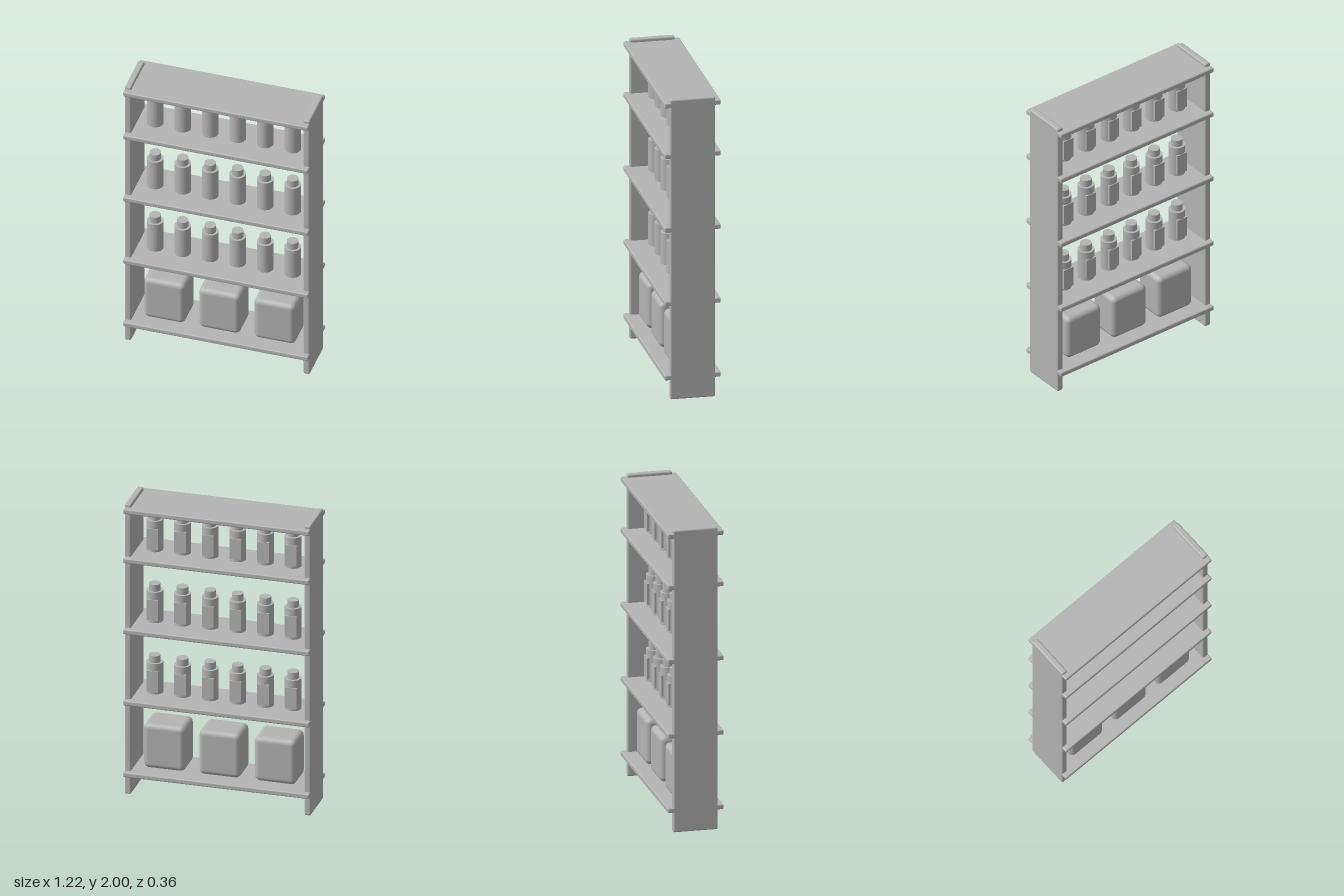
import * as THREE from 'three';
import { RoundedBoxGeometry } from 'three/addons/geometries/RoundedBoxGeometry.js';

const grey = new THREE.MeshStandardMaterial({ color: 0xb4b4b4 });
grey.name = 'plain grey';

function part(name, geometry, x, y, z, parent) {
  const mesh = new THREE.Mesh(geometry, grey);
  mesh.name = name;
  mesh.position.set(x, y, z);
  parent.add(mesh);
  return mesh;
}

export function createModel() {
  const model = new THREE.Group();
  model.name = 'shelfUnit';

  // Upright side panels
  const panel = new RoundedBoxGeometry(0.042, 2, 0.29, 2, 0.01);
  part('leftPanel', panel, 0.59, 1, 0, model);
  part('rightPanel', panel, -0.59, 1, 0, model);

  // Shelves, slightly deeper than the panels
  const shelf = new RoundedBoxGeometry(1.222, 0.033, 0.362, 2, 0.008);
  const shelfHeights = [0.146, 0.64, 1.133, 1.623, 1.962];
  shelfHeights.forEach((y) => part('shelf', shelf, 0, y, 0, model));

  // Soft-edged storage boxes on the lowest shelf
  const bin = new RoundedBoxGeometry(0.273, 0.307, 0.218, 4, 0.035);
  for (let i = -1; i <= 1; i++) part('storageBox', bin, i * 0.364, 0.329, 0, model);

  // Three rows of capped bottles with a label plate at the back
  const body = new THREE.CylinderGeometry(0.053, 0.053, 0.21, 32);
  const cap = new THREE.CylinderGeometry(0.037, 0.037, 0.046, 32);
  const label = new THREE.BoxGeometry(0.076, 0.14, 0.014);
  for (const y of shelfHeights.slice(1, 4)) {
    for (let i = 0; i < 6; i++) {
      const bottle = new THREE.Group();
      bottle.name = 'bottle';
      bottle.position.set((i - 2.5) * 0.1815, y + 0.025, 0);
      part('bottleBody', body, 0, 0.105, 0, bottle);
      part('bottleCap', cap, 0, 0.233, 0, bottle);
      part('bottleLabel', label, 0, 0.09, -0.049, bottle);
      model.add(bottle);
    }
  }
  return model;
}
